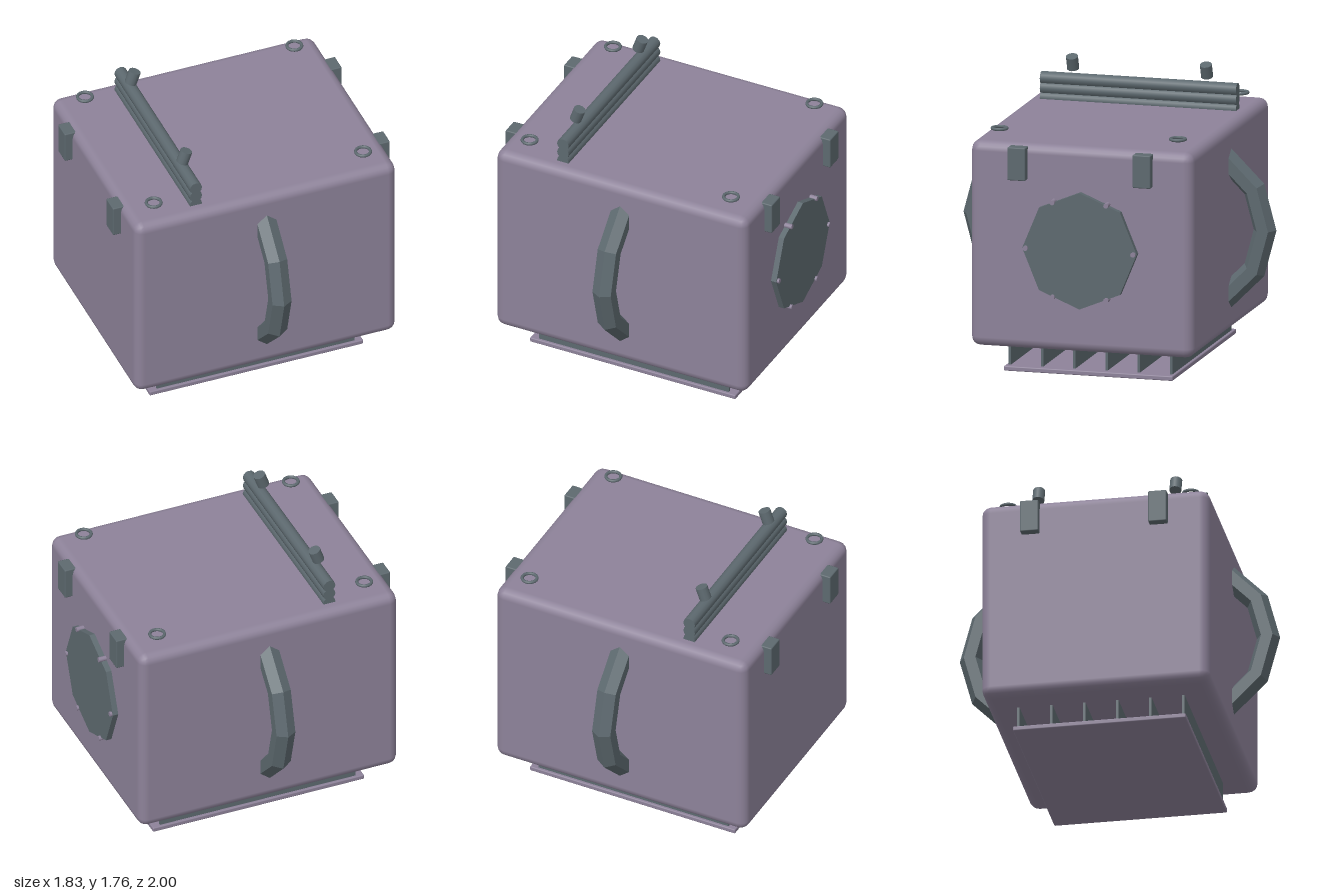
import * as THREE from 'three';
import { RoundedBoxGeometry } from 'three/addons/geometries/RoundedBoxGeometry.js';

export function createModel() {
  const model = new THREE.Group();
  model.name = 'container';

  const mauve = new THREE.MeshStandardMaterial({ color: 0x8d8299 });
  mauve.name = 'mauve';
  const slate = new THREE.MeshStandardMaterial({ color: 0x5d696f });
  slate.name = 'slate';

  const add = (name, geometry, material, x, y, z) => {
    const mesh = new THREE.Mesh(geometry, material);
    mesh.name = name;
    mesh.position.set(x, y, z);
    model.add(mesh);
    return mesh;
  };

  // Main body with softened edges
  add('body', new RoundedBoxGeometry(1.728, 1.292, 1.424, 2, 0.06), mauve, 0, 0.824, 0);

  // Base plate and the row of fins that carries the body
  add('basePlate', new RoundedBoxGeometry(1.412, 0.03, 1.08, 2, 0.007), mauve, 0, 0.015, 0);
  const finGeo = new THREE.BoxGeometry(1.306, 0.18, 0.016);
  for (let i = 0; i < 6; i++) add('fin', finGeo, slate, 0, 0.115, -0.515 + i * 0.206);

  // Carrying handles: half rings with a hexagonal section, front and back
  const handleGeo = new THREE.TorusGeometry(0.5075, 0.0725, 6, 6, Math.PI).toNonIndexed();
  handleGeo.rotateZ(-Math.PI / 2).rotateY(-Math.PI / 2);
  handleGeo.computeVertexNormals();
  for (const side of [1, -1]) {
    const handle = add('handle', handleGeo, slate, 0, 0.825, side * 0.42);
    if (side < 0) handle.rotation.y = Math.PI;
  }

  // Stacked rods on the lid
  const rodGeo = new THREE.CylinderGeometry(0.04, 0.04, 1.254, 12).rotateX(Math.PI / 2);
  for (let i = 0; i < 3; i++) add('lidRod', rodGeo, slate, -0.435, 1.475 + i * 0.0615, 0);

  // Tilted knobs above the rods
  const knobGeo = new THREE.CylinderGeometry(0.038, 0.038, 0.085, 12);
  for (const z of [-0.428, 0.428]) {
    add('knob', knobGeo, slate, -0.433, 1.705, z).rotation.z = -0.34;
  }

  // Lifting rings at the four lid corners, latches on both sides
  const ringGeo = new THREE.TorusGeometry(0.046, 0.01, 8, 20).rotateX(Math.PI / 2);
  const latchGeo = new RoundedBoxGeometry(0.085, 0.207, 0.115, 1, 0.007);
  for (const sx of [1, -1]) {
    for (const sz of [1, -1]) {
      add('liftingRing', ringGeo, slate, sx * 0.692, 1.522, sz * 0.57);
      add('latch', latchGeo, slate, sx * 0.8735, 1.351, sz * 0.4);
    }
  }

  // Octagonal hatch on the left side
  const hatchGeo = new THREE.CylinderGeometry(0.366, 0.366, 0.08, 8).rotateZ(-Math.PI / 2).toNonIndexed();
  hatchGeo.computeVertexNormals();
  add('hatch', hatchGeo, slate, 0.86, 0.825, 0);

  // Six bolts around the hatch
  const boltGeo = new THREE.CylinderGeometry(0.016, 0.016, 0.06, 10).rotateZ(-Math.PI / 2);
  for (let i = 0; i < 6; i++) {
    const a = (i * Math.PI) / 3;
    add('hatchBolt', boltGeo, mauve, 0.884, 0.825 + 0.344 * Math.sin(a), 0.344 * Math.cos(a));
  }

  return model;
}
